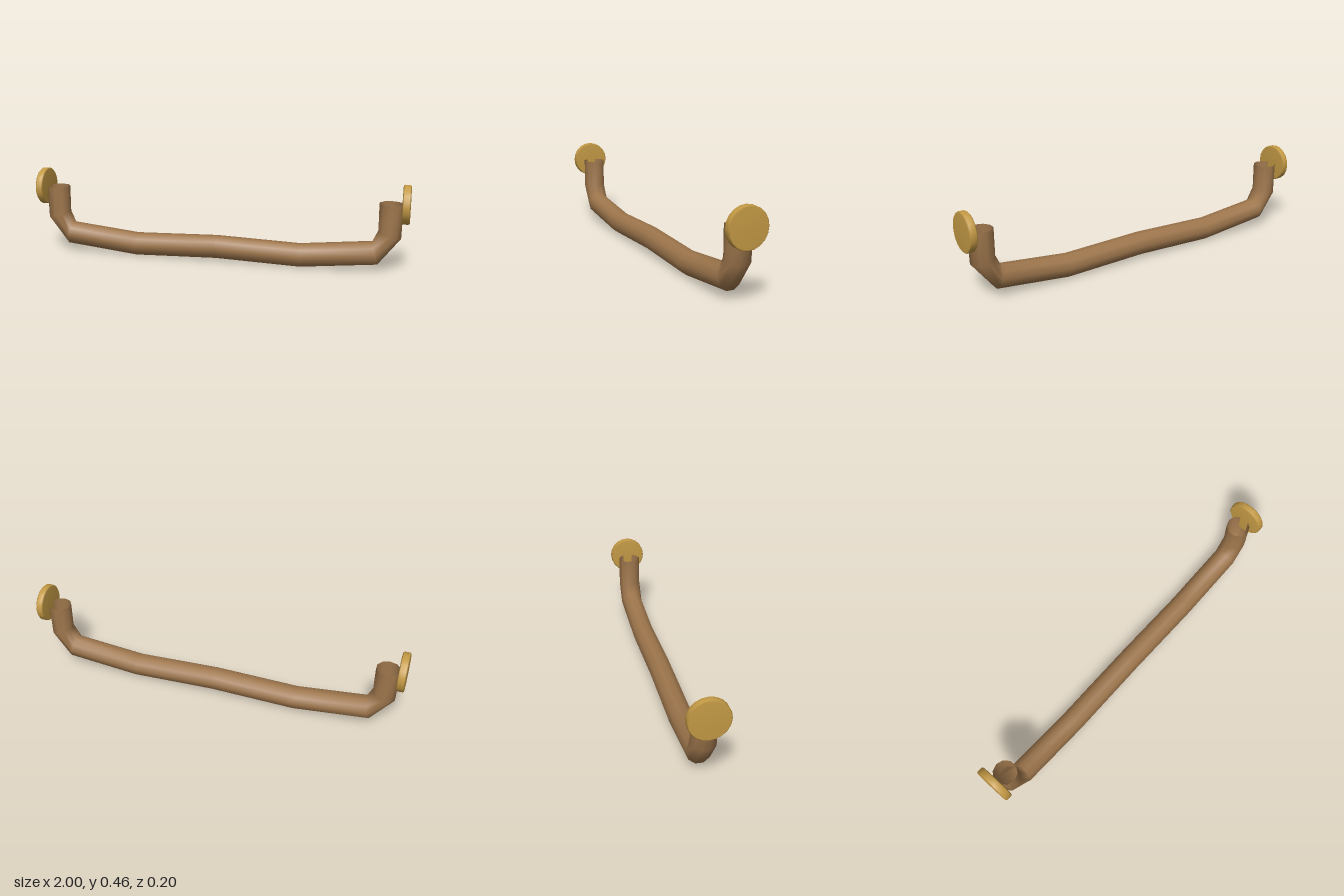
import * as THREE from 'three';

const SIDES = 10, RADIUS = 0.062;

// Half path of the bar: centre x, centre y, tilt of the cross-section in degrees
const HALF = [
  [0.906, 0.364, 0],
  [0.905, 0.205, 15],
  [0.835, 0.103, 75],
  [0.45, 0.063, 88],
  [0, 0.077, 90],
];

function barGeometry() {
  const right = HALF.slice(0, -1).reverse().map(([x, y, a]) => [-x, y, 180 - a]);
  const rings = [...HALF, ...right];
  const positions = [], index = [];
  rings.forEach(([x, y, deg], i) => {
    const a = THREE.MathUtils.degToRad(deg);
    for (let j = 0; j < SIDES; j++) {
      const t = ((j + 0.5) / SIDES) * Math.PI * 2;
      const d = RADIUS * Math.cos(t);
      positions.push(x - d * Math.cos(a), y + d * Math.sin(a), RADIUS * Math.sin(t));
      if (i === rings.length - 1) continue;
      const k = (j + 1) % SIDES, p = i * SIDES, q = p + SIDES;
      index.push(p + j, q + j, p + k, p + k, q + j, q + k);
    }
  });
  const g = new THREE.BufferGeometry();
  g.setAttribute('position', new THREE.Float32BufferAttribute(positions, 3));
  g.setIndex(index);
  g.computeVertexNormals();
  return g;
}

export function createModel() {
  const model = new THREE.Group();
  model.name = 'curvedHandle';

  const wood = new THREE.MeshStandardMaterial({ color: 0x9e764c, side: THREE.DoubleSide });
  wood.name = 'brown wood';
  const brass = new THREE.MeshStandardMaterial({ color: 0xc49a45 });
  brass.name = 'brass';

  // Bent bar, open at both upturned ends
  const bar = new THREE.Mesh(barGeometry(), wood);
  bar.name = 'bar';
  model.add(bar);

  // Round end plates with softened rims
  const profile = [[0, -0.02], [0.094, -0.02], [0.1, -0.014], [0.1, 0.014], [0.094, 0.02], [0, 0.02]]
    .map(([x, y]) => new THREE.Vector2(x, y));
  const plateGeometry = new THREE.LatheGeometry(profile, 20);
  plateGeometry.rotateZ(Math.PI / 2);
  for (const [side, name] of [[1, 'leftEndPlate'], [-1, 'rightEndPlate']]) {
    const plate = new THREE.Mesh(plateGeometry, brass);
    plate.name = name;
    plate.position.set(side * 0.98, 0.363, 0);
    model.add(plate);
  }
  return model;
}
